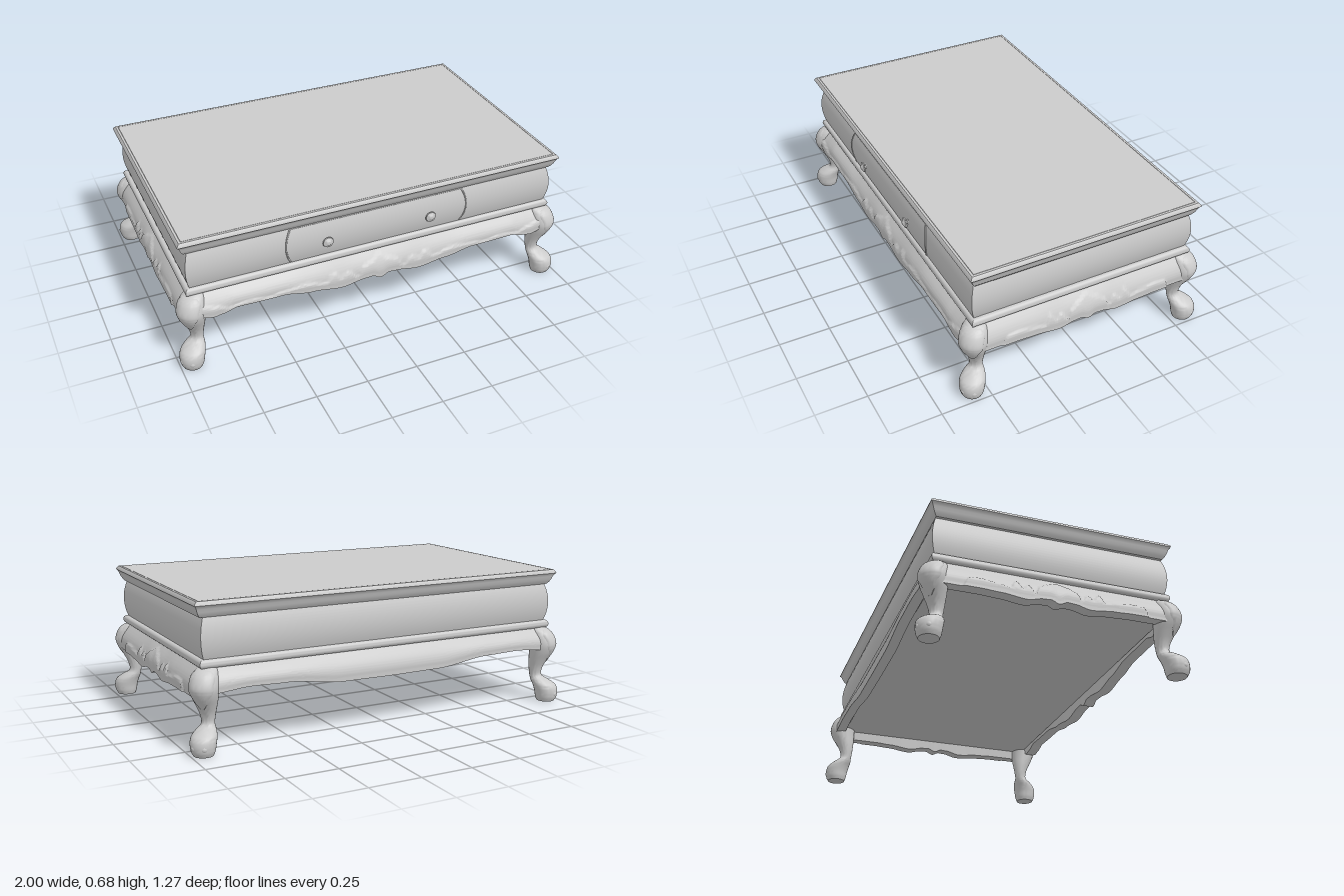
import * as THREE from 'three';
import { toCreasedNormals } from 'three/addons/utils/BufferGeometryUtils.js';

const material = new THREE.MeshStandardMaterial({ color: 0xcccccc });
const EXTRA = 0.375; // the table is this much longer than deep, per half
const clamp = THREE.MathUtils.clamp;
const smooth = THREE.MathUtils.smoothstep;

function add(parent, name, geometry) {
  const mesh = new THREE.Mesh(geometry, material);
  mesh.name = name;
  parent.add(mesh);
  return mesh;
}

// Surface from f(i, j) -> [x, y, z]; i runs to the right, j runs downwards
function grid(nu, nv, f, crease = 0.6) {
  const pos = [], index = [];
  for (let i = 0; i <= nu; i++) for (let j = 0; j <= nv; j++) pos.push(...f(i, j));
  for (let i = 0; i < nu; i++) for (let j = 0; j < nv; j++) {
    const a = i * (nv + 1) + j, b = a + nv + 1;
    index.push(a, a + 1, b, b, a + 1, b + 1);
  }
  const g = new THREE.BufferGeometry();
  g.setAttribute('position', new THREE.Float32BufferAttribute(pos, 3));
  g.setIndex(index);
  return toCreasedNormals(g, crease);
}

// Mitred moulding around the rectangle, profile points are [half depth, y]
function rectLoft(parent, name, profile, extra) {
  const group = new THREE.Group();
  group.name = name;
  for (let k = 0; k < 4; k++) {
    // the long and short sides swap which axis gets the extra length
    const [ex, ez] = k % 2 ? [0, extra] : [extra, 0];
    const g = grid(1, profile.length - 1, (i, j) => {
      const [o, y] = profile[j];
      return [(i * 2 - 1) * (o + ex), y, o + ez];
    });
    add(group, name + 'Side', g.rotateY(k * Math.PI / 2));
  }
  parent.add(group);
}

// Smoothed lookup in a list of [a, value]
function lookup(table, a) {
  for (let i = 1; i < table.length; i++) {
    const [a0, y0] = table[i - 1], [a1, y1] = table[i];
    if (a <= a1) return y0 + (y1 - y0) * smooth(a, a0, a1);
  }
  return table[table.length - 1][1];
}

// Bulging case wall
const bulge = y => 0.55 + 0.017 * (1 - ((y - 0.51) / 0.095) ** 2);

// Apron swelling outwards, with a wavy lower edge and raised carving
function apronGeometry(half, bottom, carving) {
  const rows = 24;
  return grid(180, rows + 2, (i, j) => {
    const x = (i / 90 - 1) * half, a = Math.abs(x), low = lookup(bottom, a);
    if (j === rows + 1) return [x, low, 0.55];
    if (j === rows + 2) return [x, 0.385, 0.535];
    const s = j / rows, y = 0.385 + (low - 0.385) * s;
    let o = 0.55 + 0.05 * Math.sin(Math.min(s / 0.75, 1.15) * Math.PI / 2);
    if (carving) o += 0.008 * smooth(lookup(carving, a) - y, 0, 0.01);
    return [x, y, o];
  }, 0.9);
}

// Cabriole leg: [outer, inner, y] measured on the depth axis
const legCurve = new THREE.CatmullRomCurve3([
  [0.56, 0.487, 0.386], [0.583, 0.487, 0.373], [0.605, 0.487, 0.35], [0.621, 0.488, 0.3],
  [0.611, 0.49, 0.26], [0.588, 0.493, 0.215], [0.568, 0.498, 0.17], [0.564, 0.503, 0.13],
  [0.597, 0.503, 0.105], [0.625, 0.508, 0.08], [0.632, 0.515, 0.05], [0.628, 0.52, 0.02],
  [0.618, 0.527, 0],
].map(p => new THREE.Vector3(...p)));
const LEG_Z = 0.556, LEG_X = 0.924;

function legPoint(t, angle, lift = 0) {
  const p = legCurve.getPoint(t);
  const d = (p.x + p.y) / 2 - LEG_Z, r = (p.x - p.y) / 2 + lift;
  return [d + r * Math.sin(angle), Math.max(p.z, 0), d + r * Math.cos(angle)];
}

function makeLeg() {
  const leg = new THREE.Group();
  const rows = 44;
  add(leg, 'cabrioleLeg', grid(32, rows + 1, (i, j) =>
    legPoint(Math.min(j / rows, 1), i / 32 * Math.PI * 2, j > rows ? -0.0455 : 0), 0.9));
  // carved leaf over the knee, tapering to a point
  add(leg, 'kneeLeaf', grid(16, 24, (i, j) => {
    const u = i / 8 - 1, v = j / 24;
    const width = 1.25 * Math.pow(Math.max(Math.sin(Math.PI * Math.pow(v, 0.55)), 0), 0.7);
    const edge = Math.abs(u) === 1 || j === 0 || j === 24;
    const scallop = 1 + 0.06 * Math.cos(v * 22);
    return legPoint(0.06 + v * 0.39, Math.PI / 4 + u * width * scallop, edge ? -0.002 : 0.003);
  }, 0.9));
  // scroll bosses on the foot
  for (const [x, z] of [[0.059, 0.029], [0.029, 0.059]]) {
    add(leg, 'footScroll', new THREE.SphereGeometry(0.018, 16, 10)).position.set(x, 0.04, z);
  }
  return leg;
}

export function createModel() {
  const model = new THREE.Group();
  model.name = 'coffeeTable';

  // top slab with a fine groove and a coved cornice
  rectLoft(model, 'tableTop', [
    [0, 0.68], [0.56, 0.68], [0.561, 0.678], [0.562, 0.68], [0.573, 0.68], [0.583, 0.668],
    [0.584, 0.662], [0.578, 0.657], [0.572, 0.645], [0.567, 0.63], [0.56, 0.617], [0.551, 0.605], [0.54, 0.603],
  ], 0.383);

  // bulging case
  const wall = [];
  for (let j = 0; j <= 14; j++) {
    const y = 0.606 - 0.19 * j / 14;
    wall.push([bulge(y), y]);
  }
  rectLoft(model, 'case', wall, 0.37);

  // half-round base moulding
  const base = [[0.54, 0.42]];
  for (let j = 0; j <= 10; j++) {
    const a = Math.PI / 2 - Math.PI * j / 10;
    base.push([0.553 + 0.016 * Math.cos(a), 0.4 + 0.02 * Math.sin(a)]);
  }
  rectLoft(model, 'baseMoulding', [...base, [0.5, 0.38]], EXTRA);

  // underside panel set between the aprons
  add(model, 'underside', new THREE.BoxGeometry(1.83, 0.085, 1.086)).position.y = 0.3425;

  // drawer front with bowed ends and a fine bead around it
  const drawerPoint = (u, v, lift) => {
    const y = 0.601 - 0.174 * v, t = 2 * v - 1;
    return [u * (0.44 + 0.025 * (1 - t * t)), y, bulge(y) + lift];
  };
  add(model, 'drawerFront', grid(26, 16, (i, j) => {
    const edge = i === 0 || i === 26 || j === 0 || j === 16;
    return drawerPoint(clamp((i - 1) / 12 - 1, -1, 1), clamp((j - 1) / 14, 0, 1), edge ? -0.003 : 0.002);
  }));
  for (const side of [-1, 1]) {
    const path = [];
    for (let j = 0; j <= 10; j++) path.push(new THREE.Vector3(...drawerPoint(side, j / 10, 0.001)));
    add(model, 'drawerBead', new THREE.TubeGeometry(new THREE.CatmullRomCurve3(path), 24, 0.004, 8));
  }

  // turned knobs
  const knobProfile = [[0.015, -0.01], [0.015, 0.002], [0.009, 0.006], [0.009, 0.014], [0.027, 0.016],
    [0.025, 0.021], [0.014, 0.025], [0.009, 0.03], [0, 0.032]].map(p => new THREE.Vector2(...p));
  for (const side of [-1, 1]) {
    const knob = add(model, 'drawerKnob',
      toCreasedNormals(new THREE.LatheGeometry(knobProfile, 24).rotateX(Math.PI / 2), 0.6));
    knob.position.set(side * 0.265, 0.505, 0.567);
  }

  // aprons
  const frontEdge = [[0, 0.243], [0.045, 0.262], [0.08, 0.26], [0.2, 0.243], [0.35, 0.262], [0.5, 0.286],
    [0.6, 0.287], [0.72, 0.29], [0.79, 0.272], [0.83, 0.266], [0.9, 0.28]];
  const frontCarving = [[0, 0.368], [0.04, 0.345], [0.085, 0.33], [0.12, 0.285], [0.17, 0.32],
    [0.2, 0.3], [0.24, 0.33], [0.28, 0.295], [0.38, 0.315], [0.5, 0.31], [0.56, 0.302],
    [0.66, 0.312], [0.76, 0.302], [0.82, 0.32], [0.9, 0.34]];
  const backEdge = [[0, 0.25], [0.25, 0.252], [0.55, 0.284], [0.72, 0.288], [0.9, 0.275]];
  const sideEdge = [[0, 0.243], [0.04, 0.258], [0.07, 0.256], [0.15, 0.24], [0.27, 0.252], [0.36, 0.256], [0.53, 0.256]];
  const sideCarving = [[0, 0.368], [0.05, 0.347], [0.085, 0.325], [0.11, 0.285], [0.14, 0.322],
    [0.165, 0.298], [0.195, 0.334], [0.225, 0.292], [0.28, 0.302], [0.36, 0.312], [0.41, 0.308], [0.45, 0.24], [0.53, 0.24]];
  add(model, 'frontApron', apronGeometry(0.9, frontEdge, frontCarving));
  add(model, 'backApron', apronGeometry(0.9, backEdge).rotateY(Math.PI));
  for (const side of [-1, 1]) {
    const g = apronGeometry(0.53, sideEdge, sideCarving).translate(0, 0, EXTRA);
    add(model, side > 0 ? 'leftApron' : 'rightApron', g.rotateY(side * Math.PI / 2));
  }

  // legs, turned a quarter at each corner
  [[1, 1], [1, -1], [-1, -1], [-1, 1]].forEach(([sx, sz], k) => {
    const leg = makeLeg();
    leg.name = (sz > 0 ? 'front' : 'back') + (sx > 0 ? 'Left' : 'Right') + 'Leg';
    leg.position.set(sx * LEG_X, 0, sz * LEG_Z);
    leg.rotation.y = k * Math.PI / 2;
    model.add(leg);
  });
  return model;
}
